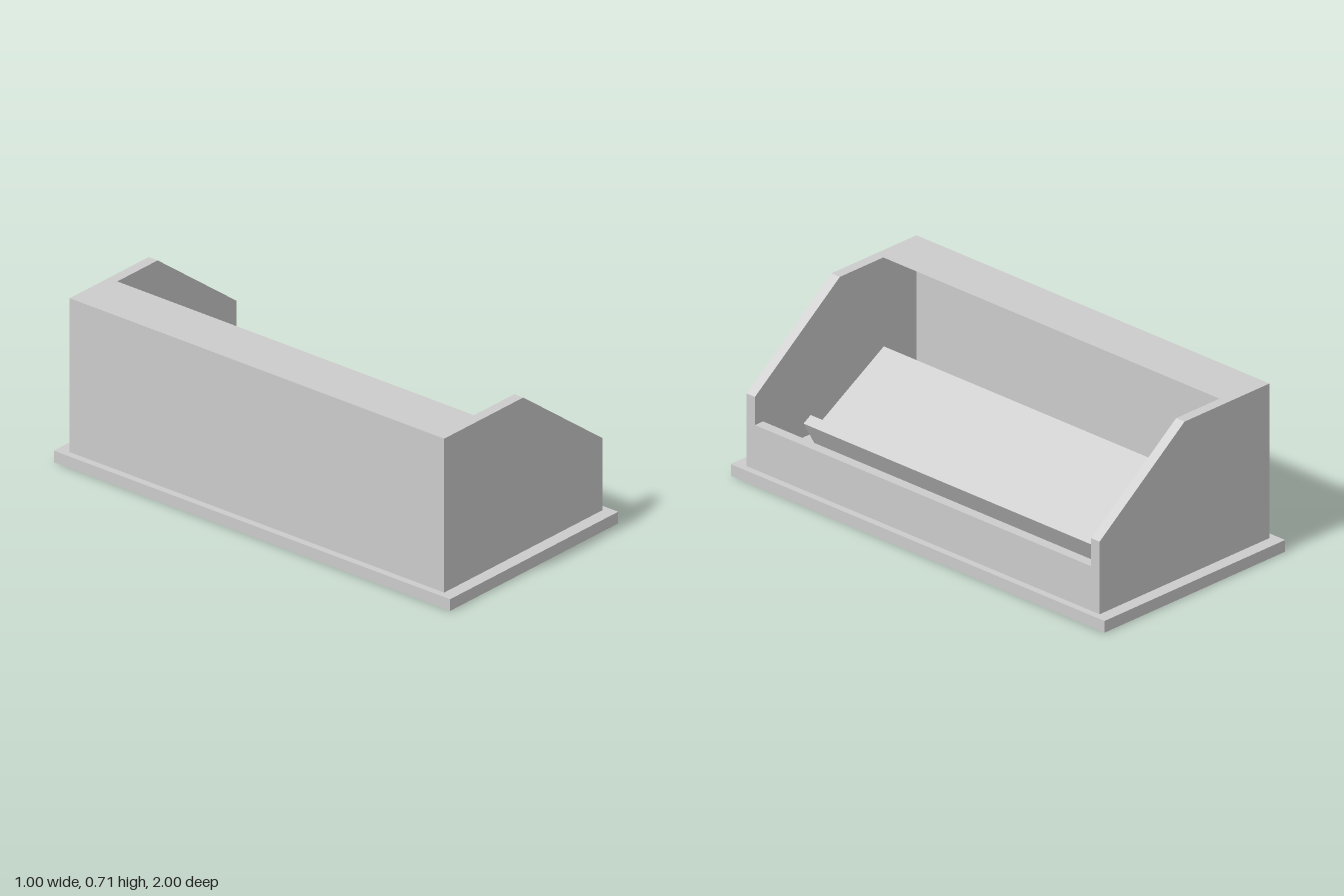
import * as THREE from 'three';

const material = new THREE.MeshStandardMaterial({ color: 0xcccccc, flatShading: true });

// Extrudes an x-y profile along z, centred on the given z
function profile(name, points, depth, z = 0) {
  const shape = new THREE.Shape(points.map(([x, y]) => new THREE.Vector2(x, y)));
  const geometry = new THREE.ExtrudeGeometry(shape, { depth, bevelEnabled: false });
  geometry.translate(0, 0, z - depth / 2);
  const mesh = new THREE.Mesh(geometry, material);
  mesh.name = name;
  return mesh;
}

// Box profile from its x and y limits
function slab(name, x0, x1, y0, y1, depth) {
  return profile(name, [[x0, y0], [x1, y0], [x1, y1], [x0, y1]], depth);
}

export function createModel() {
  const group = new THREE.Group();
  group.name = 'openFrontBin';

  const inner = 1.8; // clear width between the end walls
  const wall = 0.045;

  // Wide foot plate
  group.add(slab('basePlate', -0.5, 0.5, 0, 0.05, 2));

  // End walls with a sloping front corner
  const end = [[-0.47, 0.05], [0.47, 0.05], [0.47, 0.36], [0, 0.71], [-0.47, 0.71]];
  for (const side of [-1, 1]) {
    group.add(profile(side > 0 ? 'frontEndWall' : 'backEndWall', end, wall, side * (inner + wall) / 2));
  }

  // Floor, long walls and the partial roof with its tapered underside
  group.add(slab('floor', -0.425, 0.425, 0.05, 0.095, inner));
  group.add(slab('tallLongWall', -0.47, -0.425, 0.05, 0.71, inner));
  group.add(slab('lowLongWall', 0.425, 0.47, 0.05, 0.24, inner));
  group.add(profile('roof', [[-0.425, 0.67], [-0.24, 0.71], [-0.425, 0.71]], inner));

  // Tilted shelf with a retaining lip along its lower edge
  const shelf = profile('tiltedShelf', [
    [0, 0], [0, -0.05], [0.473, -0.05], [0.473, 0.07], [0.427, 0.07], [0.427, 0],
  ], 1.61);
  shelf.position.set(-0.145, 0.395, 0);
  shelf.rotation.z = -Math.PI / 6;
  group.add(shelf);

  return group;
}
